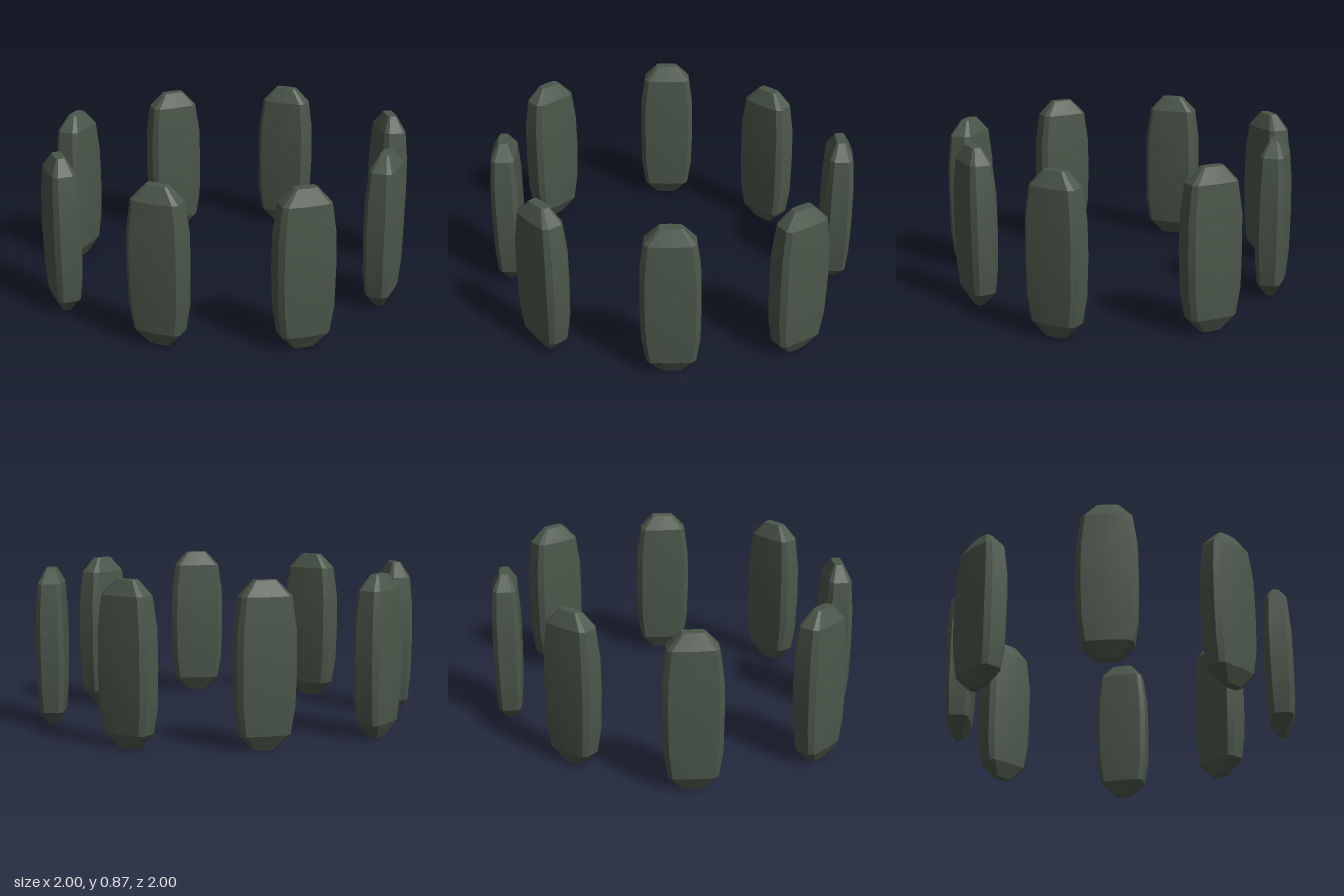
import * as THREE from 'three';
import { toCreasedNormals } from 'three/addons/utils/BufferGeometryUtils.js';

// Unit cross-section of a stone: slightly bowed broad faces, chamfered ends
const SECTION = [
  [1, -0.58], [1, 0.58], [0.83, 0.9], [0, 1], [-0.83, 0.9],
  [-1, 0.58], [-1, -0.58], [-0.83, -0.9], [0, -1], [0.83, -0.9],
];

// Stone rings from bottom to top: height, half width, half depth, sideways shift
const RINGS = [
  [0, 0.056, 0.024, 0.005],
  [0.08, 0.129, 0.068, 0.003],
  [0.22, 0.151, 0.079, 0.002],
  [0.43, 0.156, 0.083, 0],
  [0.62, 0.153, 0.081, 0],
  [0.785, 0.131, 0.069, -0.001],
  [0.865, 0.06, 0.027, 0.001],
];

function stoneGeometry() {
  const n = SECTION.length;
  const positions = [];
  const index = [];
  for (const [y, w, d, shift] of RINGS) {
    for (const [u, v] of SECTION) positions.push(u * w + shift, y, v * d);
  }
  // Walls
  for (let r = 0; r < RINGS.length - 1; r++) {
    for (let i = 0; i < n; i++) {
      const a = r * n + i, b = r * n + (i + 1) % n;
      index.push(a, a + n, b, b, a + n, b + n);
    }
  }
  // Small flat ends
  const top = (RINGS.length - 1) * n;
  for (let i = 1; i < n - 1; i++) {
    index.push(0, i, i + 1);
    index.push(top, top + i + 1, top + i);
  }
  const geometry = new THREE.BufferGeometry();
  geometry.setAttribute('position', new THREE.Float32BufferAttribute(positions, 3));
  geometry.setIndex(index);
  return toCreasedNormals(geometry, 0.36);
}

// Placement of each standing stone: name, x, z, turn about y
const STONES = [
  ['frontStone', 0.009, 0.915, 0],
  ['frontLeftStone', 0.695, 0.668, 0.71],
  ['leftStone', 0.915, 0.009, Math.PI / 2],
  ['backLeftStone', 0.737, -0.652, -0.98],
  ['backStone', 0.009, -0.918, Math.PI],
  ['backRightStone', -0.587, -0.565, 0.83],
  ['rightStone', -0.917, 0.028, -Math.PI / 2],
  ['frontRightStone', -0.654, 0.715, -0.81],
];

export function createModel() {
  const group = new THREE.Group();
  group.name = 'stoneCircle';
  const mossyStone = new THREE.MeshStandardMaterial({ color: 0x4b574a });
  mossyStone.name = 'mossyStone';
  const geometry = stoneGeometry();
  for (const [name, x, z, turn] of STONES) {
    const stone = new THREE.Mesh(geometry, mossyStone);
    stone.name = name;
    stone.position.set(x, 0, z);
    stone.rotation.y = turn;
    group.add(stone);
  }
  return group;
}
